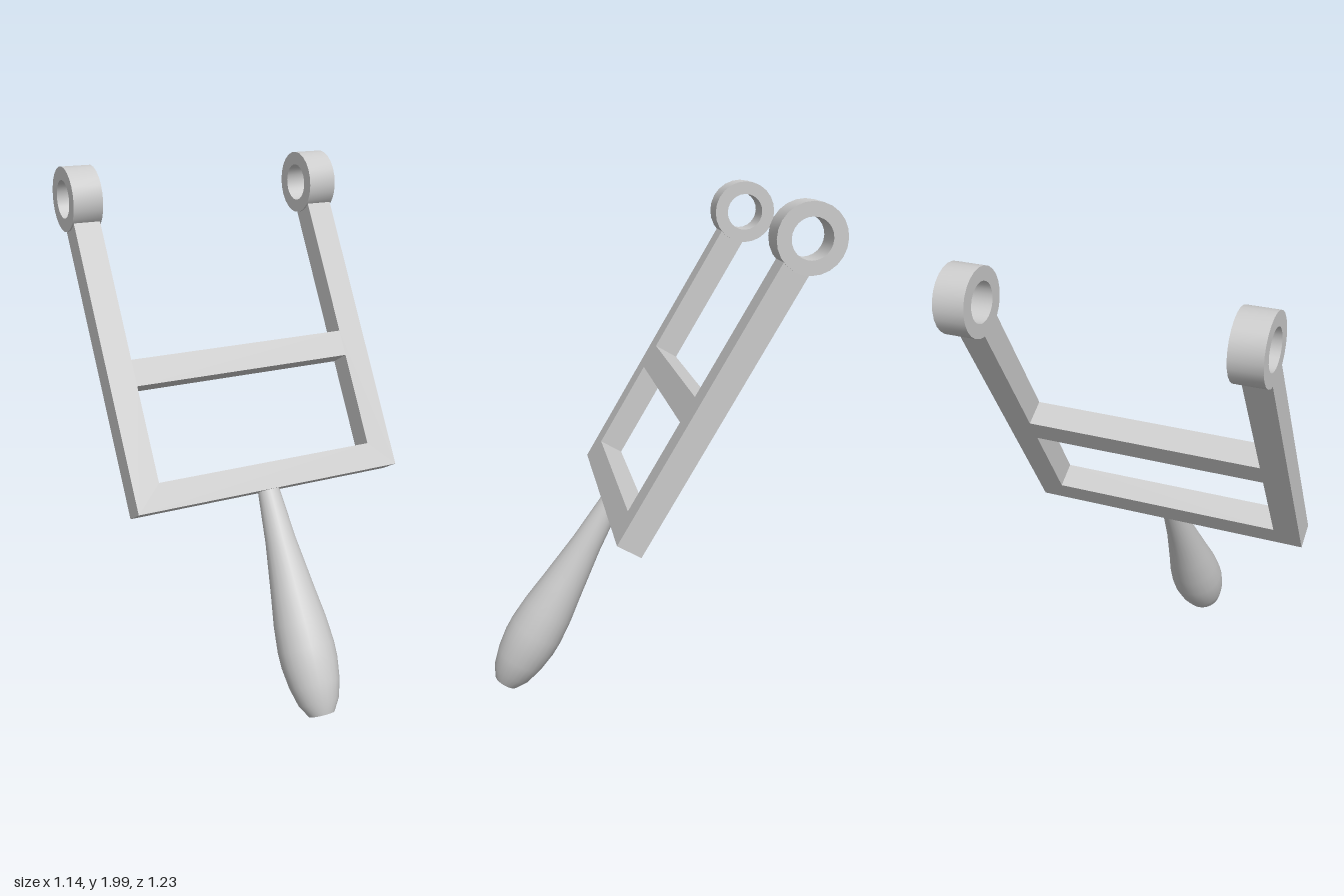
import * as THREE from 'three';
import { toCreasedNormals } from 'three/addons/utils/BufferGeometryUtils.js';

const material = new THREE.MeshStandardMaterial({ color: 0xcccccc });
const v2 = ([x, y]) => new THREE.Vector2(x, y);

function addPart(parent, name, geometry) {
  const mesh = new THREE.Mesh(geometry, material);
  mesh.name = name;
  parent.add(mesh);
  return mesh;
}

// Revolved profile with smooth sides and sharp rims
function turned(points, segments) {
  return toCreasedNormals(new THREE.LatheGeometry(points.map(v2), segments), 0.6);
}

export function createModel() {
  const model = new THREE.Group();
  model.name = 'leverFrame';

  // Everything is built upright around the frame's foot, then leaned back
  const lever = new THREE.Group();
  lever.name = 'lever';
  lever.position.set(0, 0.792, 0.131);
  lever.rotation.x = -Math.PI / 6;
  model.add(lever);

  // Flat frame: two arms joined by a lower and a middle crossbar
  const outer = 0.562, inner = 0.457, depth = 0.1;
  const armTop = 1.148, barHeight = 0.104, midLow = 0.477, midHigh = 0.581;
  const outline = new THREE.Shape([
    [-outer, 0], [outer, 0], [outer, armTop], [inner, armTop],
    [inner, midHigh], [-inner, midHigh], [-inner, armTop], [-outer, armTop],
  ].map(v2));
  outline.holes.push(new THREE.Path([
    [-inner, barHeight], [-inner, midLow], [inner, midLow], [inner, barHeight],
  ].map(v2)));
  const frame = new THREE.ExtrudeGeometry(outline, { depth, bevelEnabled: false });
  frame.translate(0, 0, -depth / 2);
  addPart(lever, 'frame', frame);

  // Pivot rings at the arm tips
  const R = 0.124, r = 0.073, h = 0.0585;
  const ring = turned([[r, -h], [R, -h], [R, h], [r, h], [r, -h]], 24);
  ring.rotateZ(Math.PI / 2);
  for (const side of [-1, 1]) {
    const eye = addPart(lever, side > 0 ? 'leftPivotRing' : 'rightPivotRing', ring);
    eye.position.set(side * 0.5095, 1.248, 0.006);
  }

  // Pear-shaped grip with a flat end
  addPart(lever, 'handle', turned([
    [0, -0.88], [0.05, -0.88], [0.08, -0.83], [0.099, -0.76], [0.11, -0.68],
    [0.111, -0.62], [0.103, -0.52], [0.086, -0.4], [0.06, -0.2], [0.042, 0.01],
  ], 24));

  return model;
}
